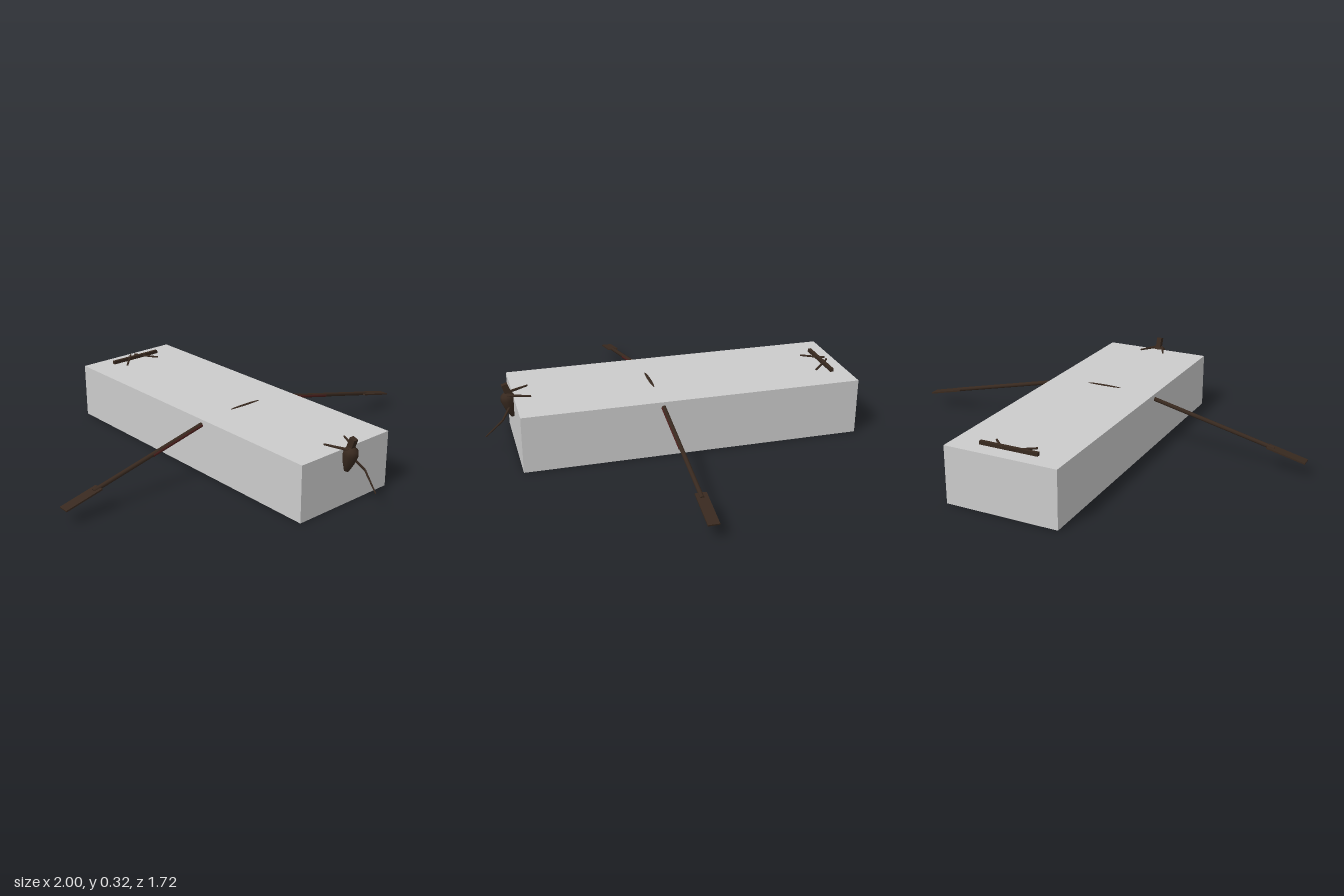
import * as THREE from 'three';

export function createModel() {
  const model = new THREE.Group();
  const hullGrey = new THREE.MeshStandardMaterial({ color: 0xcccccc });
  const darkWood = new THREE.MeshStandardMaterial({ color: 0x38291f });
  const redWood = new THREE.MeshStandardMaterial({ color: 0x4a1f1c });
  hullGrey.name = 'hullGrey';
  darkWood.name = 'darkWood';
  redWood.name = 'redWood';

  const V = (p) => new THREE.Vector3(...p);
  const add = (name, geometry, material, parent = model) => {
    const mesh = new THREE.Mesh(geometry, material);
    mesh.name = name;
    parent.add(mesh);
    return mesh;
  };
  // Aligns a mesh's y axis with the segment from a to b
  const span = (mesh, a, b) => {
    const from = V(a), to = V(b);
    mesh.position.copy(from).lerp(to, 0.5);
    mesh.quaternion.setFromUnitVectors(new THREE.Vector3(0, 1, 0), to.sub(from).normalize());
    return mesh;
  };
  const rod = (name, a, b, r0, r1, parent, material = darkWood, sides = 8) =>
    span(add(name, new THREE.CylinderGeometry(r1, r0, V(a).distanceTo(V(b)), sides), material, parent), a, b);
  const plank = (name, a, b, thick, wide, parent) =>
    span(add(name, new THREE.BoxGeometry(thick, V(a).distanceTo(V(b)), wide), darkWood, parent), a, b);

  // Block body
  add('body', new THREE.BoxGeometry(0.53, 0.265, 1.58), hullGrey).position.set(0, 0.1325, -0.07);

  // Oars, mirrored left and right
  for (const s of [-1, 1]) {
    const oar = new THREE.Group();
    oar.name = s > 0 ? 'leftOar' : 'rightOar';
    rod('shaft', [s * 0.22, 0.25, 0.082], [s * 0.85, 0.103, 0.082], 0.01, 0.01, oar);
    rod('grip', [s * 0.22, 0.248, 0.086], [s * 0.54, 0.173, 0.086], 0.008, 0.008, oar, redWood);
    plank('blade', [s * 0.82, 0.109, 0.08], [s * 0.999, 0.067, 0.08], 0.007, 0.05, oar);
    model.add(oar);
  }

  // Slim ridge breaking through the deck
  add('deckRidge', new THREE.SphereGeometry(1, 16, 8), darkWood)
    .position.set(0, 0.265, 0.082);
  model.children.at(-1).scale.set(0.09, 0.004, 0.008);

  // Carved figure on the front face
  const figure = new THREE.Group();
  figure.name = 'figurehead';
  const torsoPoints = [[0, 0], [0.012, 0.006], [0.026, 0.045], [0.035, 0.09], [0.03, 0.112], [0.012, 0.124], [0, 0.126]];
  const torso = add('torso', new THREE.LatheGeometry(torsoPoints.map((p) => new THREE.Vector2(...p)), 10), darkWood, figure);
  torso.position.set(0, 0.155, 0.722);
  torso.rotation.x = 0.22;
  plank('head', [0, 0.265, 0.738], [0, 0.318, 0.756], 0.024, 0.028, figure);
  for (const s of [-1, 1]) {
    rod(s > 0 ? 'leftArm' : 'rightArm', [s * 0.018, 0.268, 0.745], [s * 0.063, 0.274, 0.645], 0.007, 0.004, figure);
  }
  rod('upperTail', [0.015, 0.225, 0.73], [0.055, 0.165, 0.778], 0.006, 0.005, figure);
  rod('lowerTail', [0.055, 0.165, 0.778], [0.04, 0.087, 0.857], 0.005, 0.003, figure);
  model.add(figure);

  // Crossbar and struts at the rear
  const rear = new THREE.Group();
  rear.name = 'rearCrossbar';
  add('bar', new THREE.BoxGeometry(0.275, 0.016, 0.016), darkWood, rear).position.set(0, 0.274, -0.782);
  for (const s of [-1, 1]) {
    const side = s > 0 ? 'left' : 'right';
    rod(side + 'Strut', [s * 0.03, 0.276, -0.79], [s * 0.098, 0.267, -0.718], 0.005, 0.005, rear);
    rod(side + 'Hook', [s * 0.03, 0.276, -0.79], [s * 0.012, 0.28, -0.808], 0.005, 0.005, rear);
  }
  model.add(rear);

  return model;
}
